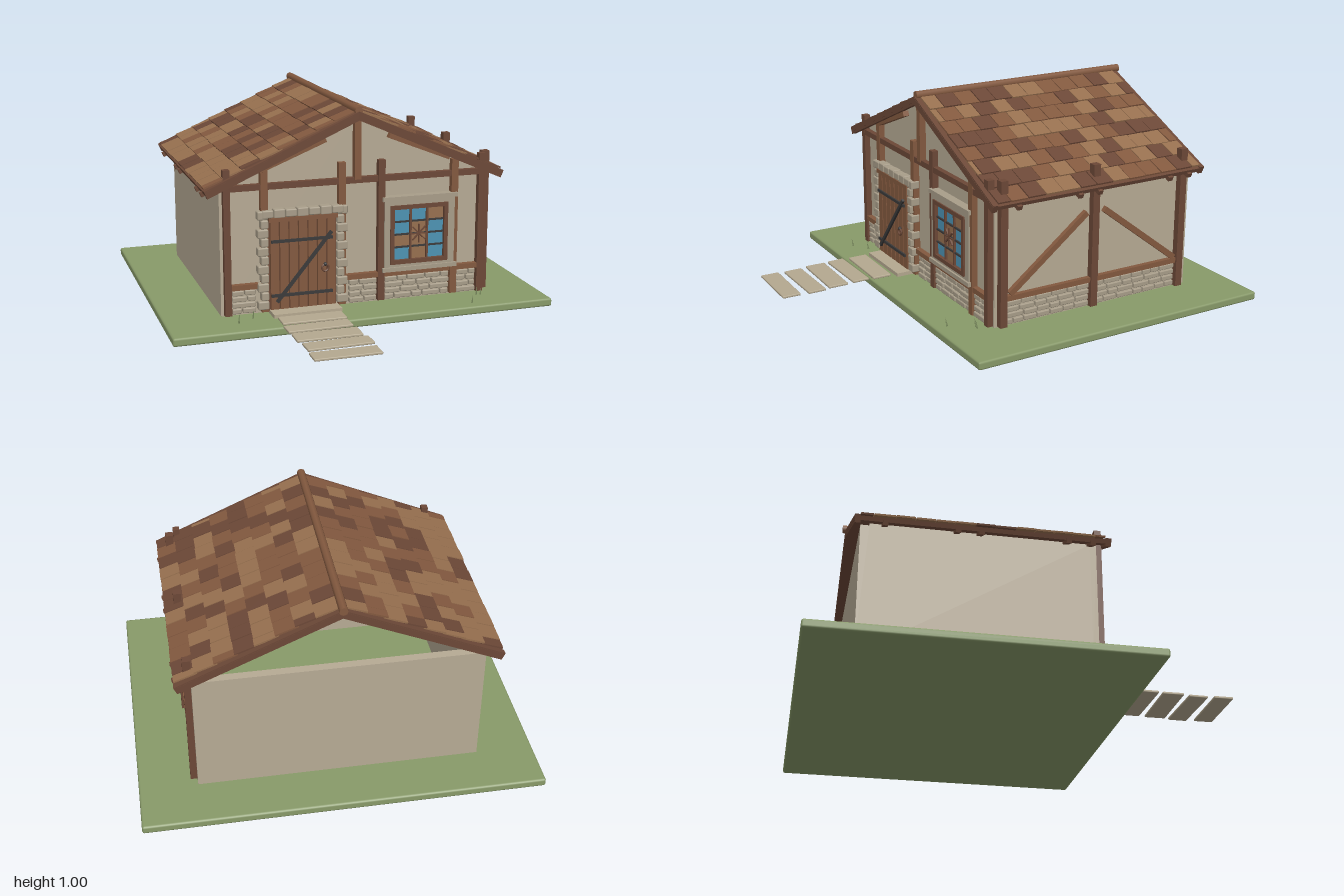
import * as THREE from 'three';
import { mergeGeometries } from 'three/addons/utils/BufferGeometryUtils.js';
import { RoundedBoxGeometry } from 'three/addons/geometries/RoundedBoxGeometry.js';

const mat = (name, color) => {
  const m = new THREE.MeshStandardMaterial({ color });
  m.name = name;
  return m;
};

export function createModel() {
  const grass = mat('grass green', 0x889a69);
  const plaster = mat('plaster', 0xb6aa94);
  const stone = mat('stone', 0xa89d89);
  const paving = mat('pale paving', 0xb4a88f);
  const woodDark = mat('dark timber', 0x6c4837);
  const woodMid = mat('mid timber', 0x83593f);
  const woodLight = mat('light timber', 0x97704f);
  const iron = mat('iron', 0x3b3a3a);
  const glass = mat('blue glass', 0x4d93b3);

  const house = new THREE.Group();
  house.name = 'cottage';
  let seed = 11;
  const rand = () => (seed = (seed * 16807) % 2147483647) / 2147483647;

  const add = (name, geo, m, x = 0, y = 0, z = 0, parent = house) => {
    const mesh = new THREE.Mesh(geo, m);
    mesh.name = name;
    mesh.position.set(x, y, z);
    parent.add(mesh);
    return mesh;
  };
  // box given by its ranges on each axis
  const span = (name, m, x0, x1, y0, y1, z0, z1, parent) =>
    add(name, new THREE.BoxGeometry(x1 - x0, y1 - y0, z1 - z0), m,
      (x0 + x1) / 2, (y0 + y1) / 2, (z0 + z1) / 2, parent);
  // slanted bar on the front, between two points in x and y
  const frontBar = (name, m, a, b, t, z, depth) => {
    const dx = b[0] - a[0], dy = b[1] - a[1];
    const bar = add(name, new THREE.BoxGeometry(Math.hypot(dx, dy), t, depth), m,
      (a[0] + b[0]) / 2, (a[1] + b[1]) / 2, z);
    bar.rotation.z = Math.atan2(dy, dx);
  };
  // slanted bar on the side, between two points in z and y
  const sideBar = (name, m, a, b, t, x, depth) => {
    const dz = b[0] - a[0], dy = b[1] - a[1];
    const bar = add(name, new THREE.BoxGeometry(depth, t, Math.hypot(dz, dy)), m,
      x, (a[1] + b[1]) / 2, (a[0] + b[0]) / 2);
    bar.rotation.x = -Math.atan2(dy, dz);
  };

  // ground slab
  add('ground', new RoundedBoxGeometry(1.85, 0.04, 1.53, 1, 0.01), grass, 0, 0.02, -0.235);

  // walls: gabled front, open gable behind
  const front = new THREE.Shape([[-0.655, 0.04], [0.655, 0.04], [0.655, 0.655], [0, 0.945], [-0.655, 0.655]]
    .map(([x, y]) => new THREE.Vector2(x, y)));
  add('frontWall', new THREE.ExtrudeGeometry(front, { depth: 0.03, bevelEnabled: false }), plaster, 0, 0, 0.268);
  for (const s of [-1, 1]) add('sideWall', new THREE.BoxGeometry(0.03, 0.61, 1.0), plaster, s * 0.64, 0.345, -0.23);
  span('backWall', plaster, -0.655, 0.655, 0.04, 0.64, -0.77, -0.73);

  // front timber frame
  const zf = 0.315;
  for (const x of [-0.625, 0.63]) span('cornerPost', woodDark, x - 0.016, x + 0.016, 0.045, 0.735, 0.295, 0.327);
  for (const [x, top, m] of [[-0.45, 0.735, woodMid], [-0.075, 0.735, woodMid], [0.12, 0.735, woodDark], [0.49, 0.715, woodMid]])
    span('frontPost', m, x - 0.017, x + 0.017, 0.05, top, 0.297, 0.328);
  span('kingPost', woodMid, -0.016, 0.016, 0.65, 0.96, 0.297, 0.33);
  span('tieBeam', woodDark, -0.64, 0.645, 0.632, 0.66, 0.295, 0.325);
  span('sillBeam', woodMid, -0.62, -0.46, 0.165, 0.19, 0.295, 0.325);
  span('sillBeam', woodMid, -0.06, 0.63, 0.165, 0.19, 0.295, 0.325);
  for (const s of [-1, 1]) frontBar('gableBrace', woodMid, [s * 0.46, 0.728], [s * 0.155, 0.85], 0.026, zf, 0.03);

  // timber frame on the left side
  for (const z of [0.265, -0.222, -0.718]) span('sidePost', woodDark, 0.65, 0.686, 0.045, 0.735, z - 0.018, z + 0.018);
  span('sideSill', woodMid, 0.65, 0.678, 0.165, 0.19, -0.70, 0.25);
  span('sideTopBeam', woodDark, 0.65, 0.68, 0.62, 0.65, -0.72, 0.27);
  sideBar('sideBrace', woodMid, [0.225, 0.195], [-0.18, 0.51], 0.028, 0.664, 0.026);
  sideBar('sideBrace', woodMid, [-0.278, 0.51], [-0.69, 0.195], 0.028, 0.664, 0.026);

  // stone courses: place(u, y, length) puts one stone along a wall
  const courses = (u0, u1, place) => {
    for (let row = 0; row < 4; row++) {
      let u = u0;
      while (u < u1 - 0.015) {
        let w = 0.05 + rand() * 0.045;
        if (u + w > u1 - 0.03) w = u1 - u;
        place(u + w / 2, 0.062 + row * 0.029, w - 0.006);
        u += w;
      }
    }
  };
  const frontStone = (u, y, w) =>
    add('footingStone', new RoundedBoxGeometry(w, 0.024, 0.03, 1, 0.005), stone, u, y, 0.303 + rand() * 0.006);
  for (const [a, b] of [[-0.608, -0.49], [-0.04, 0.103], [0.138, 0.473], [0.508, 0.612]]) courses(a, b, frontStone);
  const sideStone = (u, y, w) =>
    add('footingStone', new RoundedBoxGeometry(0.03, 0.024, w, 1, 0.005), stone, 0.655 + rand() * 0.005, y, u);
  for (const [a, b] of [[-0.7, -0.24], [-0.204, 0.247]]) courses(a, b, sideStone);

  // door with planks, straps and ring
  span('doorBacking', woodDark, -0.435, -0.105, 0.055, 0.5, 0.298, 0.325);
  for (let i = 0; i < 7; i++) {
    const x = -0.407 + i * 0.0455;
    span('doorPlank', woodMid, x - 0.0195, x + 0.0195, 0.062, 0.485, 0.32, 0.342);
  }
  span('doorLintel', woodMid, -0.435, -0.105, 0.482, 0.502, 0.32, 0.348);
  for (const y of [0.13, 0.39]) span('doorStrap', iron, -0.425, -0.13, y - 0.007, y + 0.007, 0.34, 0.35);
  frontBar('doorDiagonal', iron, [-0.4, 0.1], [-0.135, 0.42], 0.015, 0.35, 0.012);
  add('doorRing', new THREE.TorusGeometry(0.016, 0.005, 6, 14), woodDark, -0.168, 0.247, 0.354);
  add('doorKnob', new THREE.SphereGeometry(0.009, 8, 6), iron, -0.168, 0.264, 0.354);

  // stones around the door
  for (const s of [-1, 1]) for (let i = 0; i < 11; i++) {
    const w = i % 2 ? 0.036 : 0.052;
    add('doorStone', new RoundedBoxGeometry(w, 0.04, 0.045, 1, 0.006), stone,
      -0.27 + s * (0.165 + w / 2), 0.085 + i * 0.043, 0.322);
  }
  for (let i = 0; i < 7; i++)
    add('lintelStone', new RoundedBoxGeometry(0.054, 0.036 + (i % 2) * 0.006, 0.045, 1, 0.006), stone, -0.438 + i * 0.056, 0.52, 0.325);

  // window: stone surround, timber frame, coloured panes
  const frame = (name, m, x0, x1, y0, y1, t, z0, z1) => {
    span(name, m, x0, x1, y1 - t, y1, z0, z1);
    span(name, m, x0, x1, y0, y0 + t, z0, z1);
    span(name, m, x0, x0 + t, y0 + t, y1 - t, z0, z1);
    span(name, m, x1 - t, x1, y0 + t, y1 - t, z0, z1);
  };
  frame('windowSurround', stone, 0.132, 0.488, 0.195, 0.54, 0.033, 0.297, 0.335);
  span('windowCap', stone, 0.122, 0.5, 0.535, 0.555, 0.297, 0.342);
  span('windowSill', stone, 0.122, 0.5, 0.19, 0.21, 0.297, 0.345);
  frame('windowFrame', woodDark, 0.16, 0.452, 0.224, 0.512, 0.02, 0.297, 0.342);
  const panes = ['bbw', 'bwb', 'wwb', 'bwb'];
  panes.forEach((line, r) => [...line].forEach((k, c) => {
    const x = 0.18 + c * 0.084, y = 0.43 - r * 0.062;
    span('windowPane', k === 'b' ? glass : woodLight, x, x + 0.084, y, y + 0.062, 0.318, 0.325);
  }));
  for (const x of [0.264, 0.348]) span('windowBar', woodDark, x - 0.005, x + 0.005, 0.24, 0.495, 0.32, 0.335);
  for (const y of [0.306, 0.368, 0.43]) span('windowBar', iron, 0.18, 0.432, y - 0.004, y + 0.004, 0.32, 0.333);
  for (let i = 0; i < 4; i++) {
    const a = i * Math.PI / 4, c = 0.045 * Math.cos(a), s = 0.045 * Math.sin(a);
    frontBar('windowStar', woodDark, [0.306 - c, 0.368 - s], [0.306 + c, 0.368 + s], 0.006, 0.334, 0.008);
  }

  // roof: each slope is built along its own x and turned for the other side
  const zMid = -0.225, pitch = Math.atan(0.4425), len = 0.73 / Math.cos(pitch);
  for (const turn of [0, Math.PI]) {
    const side = new THREE.Group();
    side.name = 'roofSide';
    side.position.z = zMid;
    side.rotation.y = turn;
    house.add(side);
    const slope = new THREE.Group();
    slope.name = 'roofSlope';
    slope.position.y = 0.966;
    slope.rotation.z = -pitch;
    side.add(slope);
    span('roofDeck', woodDark, 0, len, -0.02, 0, -0.575, 0.575, slope);
    for (const z of [-0.562, 0.562]) span('bargeBoard', woodDark, 0, len, -0.032, 0.006, z - 0.012, z + 0.012, slope);
    for (const z of [-0.49, -0.38, 0.015, 0.12, 0.44]) span('rafterEnd', woodDark, 0.7, len + 0.012, -0.034, -0.012, z - 0.012, z + 0.012, slope);

    // overlapping shingles, staggered row by row
    const sets = [[], [], []];
    const rows = 8, pitchLen = 0.0965;
    for (let r = 0; r < rows; r++) {
      let z = -0.55;
      let w = r % 2 ? 0.046 : 0.092;
      while (z < 0.545) {
        const end = z + w > 0.53 ? 0.55 : z + w;
        const g = new THREE.BoxGeometry(pitchLen + 0.012 + rand() * 0.008, 0.008, end - z - 0.004);
        g.rotateZ(0.06);
        g.translate(0.012 + (r + 0.5) * pitchLen, 0.008 + rand() * 0.003, (z + end) / 2);
        const k = rand();
        sets[k < 0.45 ? 0 : k < 0.75 ? 1 : 2].push(g);
        z = end;
        w = 0.085 + rand() * 0.014;
      }
    }
    [woodLight, woodMid, woodDark].forEach((m, i) => add('roofShingles', mergeGeometries(sets[i]), m, 0, 0, 0, slope));
  }
  const ridge = add('ridgeBeam', new THREE.CylinderGeometry(0.02, 0.02, 1.155, 8), woodMid, 0, 0.976, zMid - 0.01);
  ridge.rotation.x = Math.PI / 2;

  // doorstep and path slabs
  span('doorstep', paving, -0.43, -0.1, 0.04, 0.058, 0.3, 0.405);
  [[0.478, 0.095, -0.268], [0.593, 0.085, -0.275], [0.71, 0.1, -0.27], [0.83, 0.09, -0.258], [0.953, 0.09, -0.265]]
    .forEach(([z, d, x], i) => {
      const slab = add('pathSlab', new RoundedBoxGeometry(0.305, 0.012, d, 1, 0.004), paving, x, 0.051, z);
      slab.rotation.y = (i % 2 ? 1 : -1) * 0.015;
    });

  // grass blades
  for (const [x, z] of [[-0.6, 0.42], [-0.52, 0.37], [0.53, 0.475], [0.62, 0.37], [0.6, 0.365]]) {
    const blade = add('grassBlade', new THREE.ConeGeometry(0.005, 0.05, 4), grass, x, 0.062, z);
    blade.rotation.x = 0.2;
  }
  return house;
}
